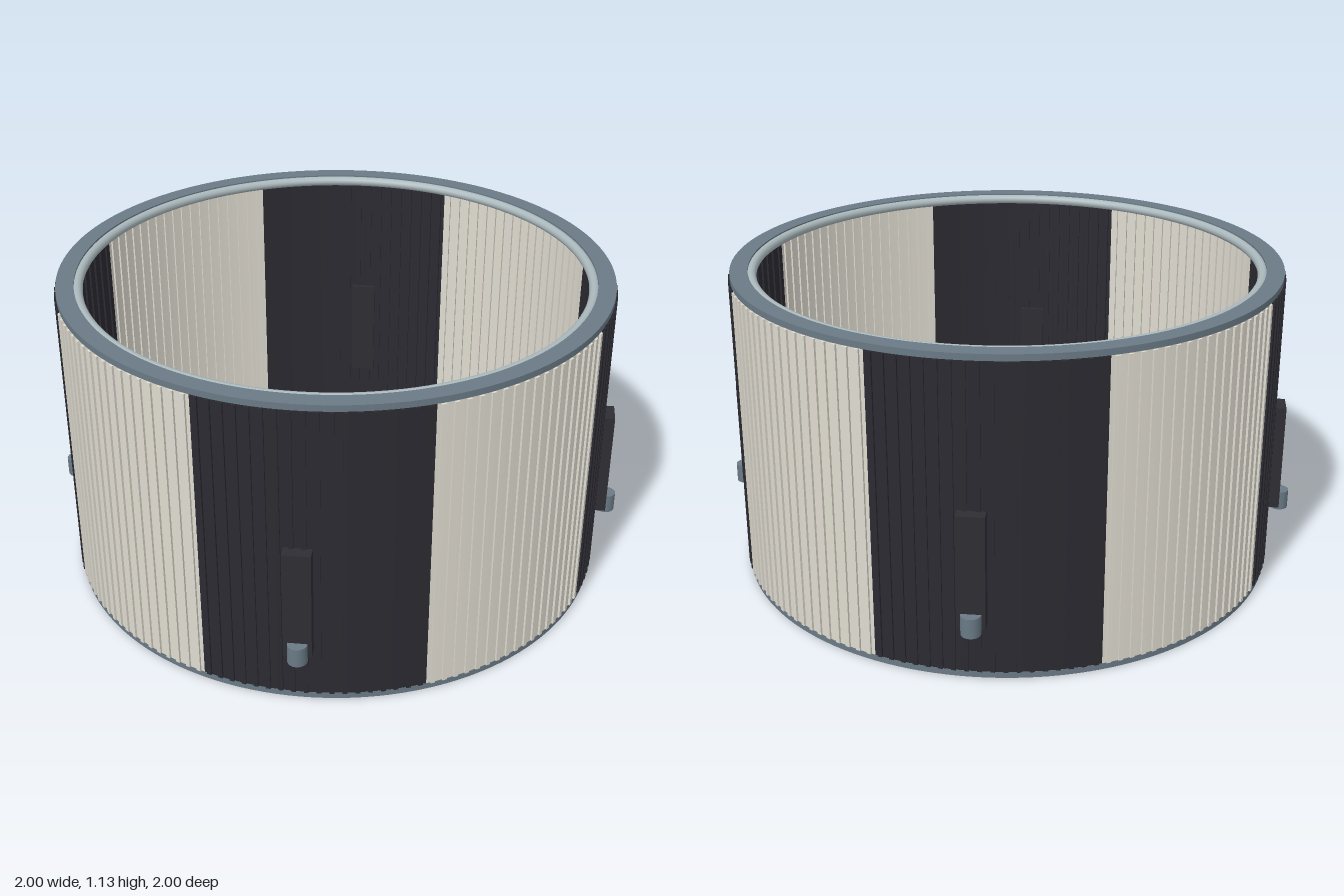
import * as THREE from 'three';
import { mergeGeometries } from 'three/addons/utils/BufferGeometryUtils.js';

const H = 1.125, R = 0.982, SECTORS = 8, RIBS = 18;

const mat = (name, color, side = THREE.FrontSide) => {
  const m = new THREE.MeshStandardMaterial({ color, side });
  m.name = name;
  return m;
};

export function createModel() {
  const black = mat('black', 0x2a2a31, THREE.DoubleSide);
  const white = mat('white', 0xdfdbd0, THREE.DoubleSide);
  const steel = mat('steel', 0x6a7a86);
  const paleSteel = mat('pale steel', 0xabb9bd);
  const charcoal = mat('charcoal', 0x2d2d33);

  const group = new THREE.Group();
  group.name = 'interstageRing';
  const add = (name, geo, material, parent = group) => {
    const mesh = new THREE.Mesh(geo, material);
    mesh.name = name;
    parent.add(mesh);
    return mesh;
  };

  // Thin wall in alternating sectors, each with its vertical ribs
  const step = (Math.PI * 2) / SECTORS;
  for (let s = 0; s < SECTORS; s++) {
    const paint = s % 2 ? white : black;
    const wall = new THREE.CylinderGeometry(R, R, H, RIBS, 1, true, s * step, step);
    add('wallPanel', wall.translate(0, H / 2, 0), paint);
    const ribs = [];
    for (let i = 0; i < RIBS; i++) {
      const rib = new THREE.BoxGeometry(0.016, H - 0.045, 0.015);
      rib.translate(0, H / 2, R).rotateY((s + (i + 0.5) / RIBS) * step);
      ribs.push(rib);
    }
    add('wallRibs', mergeGeometries(ribs), paint);
  }

  // Flat end flanges with a rounded inner lip, top and bottom
  const flange = [[0.92, 0], [0.983, 0], [0.983, 0.022], [0.92, 0.022], [0.92, 0]];
  const edges = flange.slice(1).map((p, i) => new THREE.LatheGeometry(
    [flange[i], p].map(([r, y]) => new THREE.Vector2(r, y)), 144));
  const flangeGeo = mergeGeometries(edges);
  const lipGeo = new THREE.TorusGeometry(0.908, 0.018, 12, 144).rotateX(Math.PI / 2);
  for (const [label, y, lipY] of [['bottom', -0.001, 0.018], ['top', H - 0.021, H - 0.018]]) {
    add(label + 'Flange', flangeGeo, steel).position.y = y;
    add(label + 'Lip', lipGeo, paleSteel).position.y = lipY;
  }

  // Four latch housings, each with a small cylindrical pin
  for (let k = 0; k < 4; k++) {
    const latch = new THREE.Group();
    latch.name = 'latch';
    latch.rotation.y = THREE.MathUtils.degToRad(20 + 90 * k);
    group.add(latch);
    add('latchHousing', new THREE.BoxGeometry(0.095, 0.4, 0.06), charcoal, latch)
      .position.set(0, 0.405, 0.996);
    add('latchPin', new THREE.CylinderGeometry(0.034, 0.034, 0.07, 20), steel, latch)
      .position.set(0, 0.225, 1.027);
  }
  return group;
}
